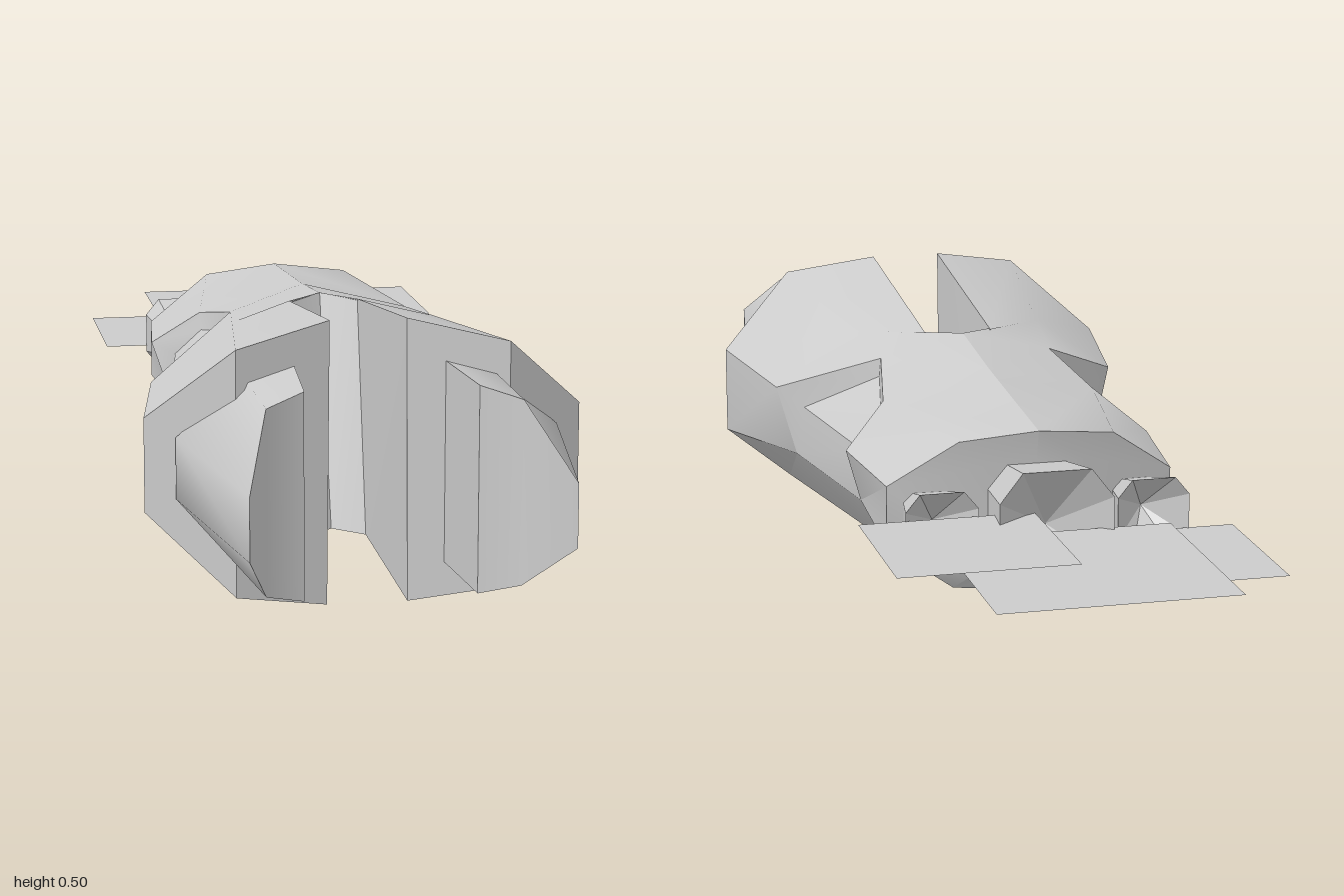
import * as THREE from 'three';
import { toCreasedNormals } from 'three/addons/utils/BufferGeometryUtils.js';

const material = new THREE.MeshStandardMaterial({ color: 0xcccccc });
const plateMaterial = new THREE.MeshStandardMaterial({ color: 0xcccccc, side: THREE.DoubleSide });

// Joins cross-sections that run front to back. Each one goes top, outer side, bottom.
// The first `closed` spans also get the inner wall; caps are extra polygons.
// Edges sharper than `crease` degrees stay hard.
function loft(name, rings, closed, caps, crease, mirrored = false) {
  const positions = [];
  const same = (a, b) => a.every((v, i) => v === b[i]);
  const tri = (a, b, c) => {
    if (same(a, b) || same(b, c) || same(a, c)) return;
    for (const p of mirrored ? [a, c, b] : [a, b, c]) {
      positions.push(mirrored ? -p[0] : p[0], p[1], p[2]);
    }
  };
  for (let i = 0; i < rings.length - 1; i++) {
    const r = rings[i], s = rings[i + 1], n = r.length;
    for (let j = 0; j < (i < closed ? n : n - 1); j++) {
      const k = (j + 1) % n;
      tri(r[j], r[k], s[j]);
      tri(r[k], s[k], s[j]);
    }
  }
  for (const cap of caps) {
    for (let i = 1; i < cap.length - 1; i++) tri(cap[0], cap[i], cap[i + 1]);
  }
  const geometry = new THREE.BufferGeometry();
  geometry.setAttribute('position', new THREE.Float32BufferAttribute(positions, 3));
  const mesh = new THREE.Mesh(toCreasedNormals(geometry, THREE.MathUtils.degToRad(crease)), material);
  mesh.name = name;
  return mesh;
}

// Half hull: deck centre, deck ridge, shelf inner edge, upper side, lower side, keel ridge, keel centre
function hullHalf(name, mirrored) {
  const foreTop = [0.335, 0.33, 0.235], foreLow = [0.3, 0.2, 0.215];
  const slotTop = [0, 0.455, 0.08], notchFore = [0.165, 0.42, 0.06];
  const notchAft = [0.2, 0.385, -0.12], aftTop = [0.285, 0.315, -0.19], aftLow = [0.25, 0.207, -0.15];
  const keelFore = [0.2, 0.066, 0.235], keelAft = [0.165, 0.094, -0.14];
  const front = [[0.067, 0.503, 0.58], [0.237, 0.468, 0.635], [0.383, 0.335, 0.54],
    [0.383, 0.335, 0.54], [0.383, 0.168, 0.54], [0.237, 0.035, 0.635], [0.071, 0, 0.58]];
  const rear = [[0, 0.41, -0.48], [0.14, 0.395, -0.465], [0.26, 0.31, -0.42],
    [0.26, 0.31, -0.42], [0.26, 0.2, -0.42], [0.14, 0.115, -0.42], [0, 0.1, -0.42]];
  const rings = [
    front,
    [[0.064, 0.449, 0.12], [0.187, 0.435, 0.235], foreTop, foreTop, foreLow, keelFore, [0.054, 0.037, 0.27]],
    [slotTop, notchFore, foreTop, foreTop, foreLow, keelFore, [0, 0.035, 0.21]],
    [slotTop, notchFore, [0.168, 0.385, 0.06], [0.29, 0.3, 0.185], foreLow,
      [0.184, 0.079, 0.06], [0, 0.05, 0.06]],
    [[0, 0.435, -0.12], notchAft, [0.2, 0.355, -0.1], [0.245, 0.3, -0.145], aftLow, keelAft, [0, 0.07, -0.14]],
    [[0, 0.43, -0.19], notchAft, aftTop, aftTop, aftLow, keelAft, [0, 0.07, -0.14]],
    rear,
  ];
  // Stern bevels run in to the base of the centre nozzle
  const base = [[0, 0.35, -0.465], [0.088, 0.35, -0.465], [0.088, 0.165, -0.465], [0, 0.165, -0.465]];
  const caps = [
    [front[6], front[5], front[1], front[0]],
    [front[5], front[4], front[3], front[1]],
    [rear[0], rear[1], base[1], base[0]],
    [rear[1], rear[2], base[1]],
    [rear[2], rear[4], base[2], base[1]],
    [rear[4], rear[5], base[2]],
    [rear[5], rear[6], base[3], base[2]],
    base,
  ];
  return loft(name, rings, 2, caps, 36, mirrored);
}

// Pointed block on the nose of each arm
function prong(name, mirrored) {
  const tip = [[0.147, 0.43, 0.8], [0.215, 0.41, 0.83], [0.267, 0.308, 1],
    [0.267, 0.2, 1], [0.215, 0.092, 0.83], [0.147, 0.073, 0.8]];
  const root = [[0.13, 0.43, 0.58], [0.215, 0.41, 0.58], [0.333, 0.308, 0.58],
    [0.333, 0.2, 0.58], [0.215, 0.092, 0.58], [0.13, 0.073, 0.58]];
  const caps = [[tip[5], tip[4], tip[1], tip[0]], [tip[4], tip[3], tip[2], tip[1]]];
  return loft(name, [tip, root], 1, caps, 58, mirrored);
}

// Flared nozzle with chamfered corners and a hollow, pointed mouth
function nozzle(name, x, y, front, rear) {
  const corners = [[-0.6, 1], [0.6, 1], [1, 0.55], [1, -0.55], [0.6, -1], [-0.6, -1], [-1, -0.55], [-1, 0.55]];
  const ring = ([w, h, z]) => corners.map(([u, v]) => [x + u * w, y + v * h, z]);
  return loft(name, [ring(front), ring(rear), ring([0, 0, rear[2] + 0.08])], 2, [], 20);
}

// Flat exhaust sheet
function plate(name, x0, x1, z0, z1, y) {
  const geometry = new THREE.PlaneGeometry(x1 - x0, z1 - z0).rotateX(-Math.PI / 2);
  const mesh = new THREE.Mesh(geometry, plateMaterial);
  mesh.position.set((x0 + x1) / 2, y, (z0 + z1) / 2);
  mesh.name = name;
  return mesh;
}

export function createModel() {
  const model = new THREE.Group();
  model.name = 'spaceship';

  for (const side of [1, -1]) {
    const label = side > 0 ? 'left' : 'right';
    model.add(
      hullHalf(label + 'Hull', side < 0),
      prong(label + 'Prong', side < 0),
      nozzle(label + 'Nozzle', side * 0.19, 0.26, [0.04, 0.035, -0.42], [0.065, 0.07, -0.55]),
    );
  }
  model.add(nozzle('centreNozzle', 0, 0.255, [0.088, 0.093, -0.465], [0.102, 0.117, -0.605]));

  // Exhaust sheets overlap at three heights
  model.add(
    plate('centreExhaust', -0.208, 0.208, -1, -0.59, 0.26),
    plate('leftExhaust', 0.025, 0.337, -0.85, -0.545, 0.283),
    plate('rightExhaust', -0.337, -0.025, -0.85, -0.545, 0.235),
  );
  return model;
}
